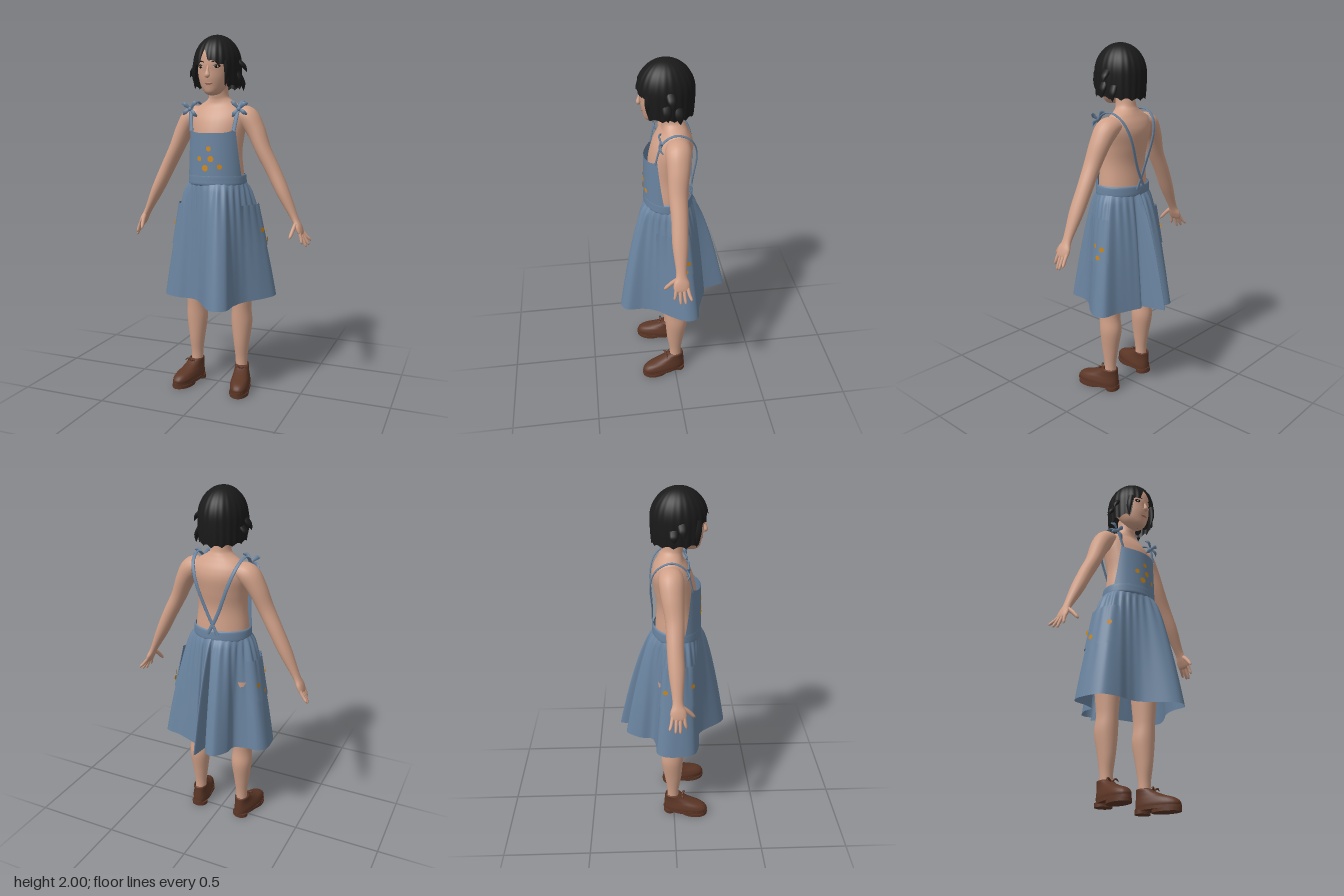
import * as THREE from 'three';
import { mergeVertices } from 'three/addons/utils/BufferGeometryUtils.js';

const mat = (name, color, side = THREE.FrontSide) => {
  const m = new THREE.MeshStandardMaterial({ color, side });
  m.name = name;
  return m;
};
const V = (x, y, z) => new THREE.Vector3(x, y, z);

// Smooth surface from fn(u, v) -> [x, y, z]; its front faces du x dv
function surface(fn, nu, nv) {
  const pos = [], idx = [];
  for (let j = 0; j <= nv; j++)
    for (let i = 0; i <= nu; i++) pos.push(...fn(i / nu, j / nv));
  for (let j = 0; j < nv; j++)
    for (let i = 0; i < nu; i++) {
      const a = j * (nu + 1) + i, b = a + nu + 1;
      idx.push(a, a + 1, b + 1, a, b + 1, b);
    }
  let g = new THREE.BufferGeometry();
  g.setAttribute('position', new THREE.Float32BufferAttribute(pos, 3));
  g.setIndex(idx);
  g = mergeVertices(g, 1e-5);
  g.computeVertexNormals();
  return g;
}

// Catmull-Rom through rows of numbers
function spline(rows, v) {
  const n = rows.length - 1, f = v * n, i = Math.min(Math.floor(f), n - 1), t = f - i;
  const at = k => rows[Math.max(0, Math.min(n, k))];
  const [a, b, c, d] = [at(i - 1), at(i), at(i + 1), at(i + 2)];
  return b.map((p, k) => p + 0.5 * t * (c[k] - a[k] + t * (2 * a[k] - 5 * p + 4 * c[k] - d[k] + t * (3 * (p - c[k]) + d[k] - a[k]))));
}

// Horizontal rings: [y, half width, front z, back z]
const loft = (rings, cx = 0, seg = 28, power = 1) => surface((u, v) => {
  const [y, rx, zf, zb] = spline(rings, v), a = u * Math.PI * 2;
  const p = q => Math.sign(q) * Math.abs(q) ** power;
  return [cx + rx * p(Math.sin(a)), y, (zf + zb) / 2 + (zf - zb) / 2 * p(Math.cos(a))];
}, seg, rings.length * 5);

// Tapered tube: [x, y, z, thickness, breadth along ref]
const limb = (pts, seg = 16, ref = V(0, 0, 1)) => surface((u, v) => {
  const q = spline(pts, v), e = 0.01;
  const p0 = spline(pts, Math.max(0, v - e)), p1 = spline(pts, Math.min(1, v + e));
  const T = V(p1[0] - p0[0], p1[1] - p0[1], p1[2] - p0[2]).normalize();
  const B = ref.clone().addScaledVector(T, -ref.dot(T)).normalize();
  const N = B.clone().cross(T), a = u * Math.PI * 2;
  return V(q[0], q[1], q[2]).addScaledVector(N, Math.max(q[3], 0) * Math.cos(a))
    .addScaledVector(B, Math.max(q[4], 0) * Math.sin(a)).toArray();
}, seg, pts.length * 5);

// Hem outline of the skirt, [x, z], front then round by the left side
const HEM = [[.1, .315], [.155, .28], [.165, .19], [.2, .11], [.27, .03], [.32, -.05], [.305, -.115],
  [.22, -.135], [.13, -.17], [.08, -.19], [.055, -.18], [.03, -.305], [.015, -.3], [0, -.19], [-.02, -.26],
  [-.08, -.275], [-.13, -.2], [-.14, -.13], [-.21, -.105], [-.28, -.1], [-.315, -.05], [-.31, .05],
  [-.28, .115], [-.2, .145], [-.13, .145], [-.06, .17], [.04, .29]];
const hemCurve = new THREE.CatmullRomCurve3(HEM.map(([x, z]) => V(x, 0, z)), true, 'catmullrom', 0.5);

function skirtPoint(u, t) {
  const h = hemCurve.getPoint(((u % 1) + 1) % 1), a = Math.atan2(h.x, h.z), f = t ** 0.65;
  const ripple = 1 + 0.035 * Math.sin(a * 26) * Math.min(1, t * 12) * Math.exp(-4 * t);
  const x = THREE.MathUtils.lerp(0.163 * Math.sin(a), h.x, f) * ripple;
  const z = THREE.MathUtils.lerp(0.02 + 0.128 * Math.cos(a), h.z, f) * ripple;
  return V(x, 1.2 - t * (0.66 + 0.05 * z), z);
}
function skirtNormal(u, t) {
  const d = skirtPoint(u + 0.004, t).sub(skirtPoint(u - 0.004, t));
  return V(-d.z, 0, d.x).normalize();
}

export function createModel() {
  const model = new THREE.Group();
  model.name = 'girlInPinaforeDress';
  const skin = mat('skin', 0xd0a088), denim = mat('denim', 0x6a84a0, THREE.DoubleSide);
  const black = mat('hairBlack', 0x1a1a1a, THREE.DoubleSide), leather = mat('shoeLeather', 0x5c3626);
  const orange = mat('flowerOrange', 0xd18a1c, THREE.DoubleSide), dark = mat('eyeDark', 0x21140f);
  const white = mat('eyeWhite', 0xcbbcb2), lip = mat('lips', 0xb07464);
  const add = (name, geo, m, parent = model) => {
    const mesh = new THREE.Mesh(geo, m);
    mesh.name = name;
    parent.add(mesh);
    return mesh;
  };
  const blob = (name, m, p, s, ry = 0) => {
    const b = add(name, new THREE.SphereGeometry(1, 16, 12), m);
    b.position.set(...p);
    b.scale.set(...s);
    b.rotation.y = ry;
  };

  // Body and head
  add('torso', loft([[1, .14, .1, -.1], [1.2, .155, .135, -.1], [1.35, .143, .13, -.09], [1.45, .15, .125, -.105],
    [1.53, .163, .105, -.115], [1.58, .158, .08, -.105], [1.62, .12, .055, -.085], [1.65, .072, .05, -.07],
    [1.68, .053, .055, -.06], [1.76, .05, .065, -.055]]), skin);
  add('head', loft([[1.672, .002, .1, .095], [1.677, .026, .125, .065], [1.69, .045, .14, .03], [1.72, .068, .148, 0],
    [1.76, .083, .157, -.03], [1.8, .092, .16, -.05], [1.84, .097, .163, -.08], [1.9, .1, .155, -.09],
    [1.95, .08, .12, -.06], [1.975, .002, .04, .035]], 0, 32), skin);
  add('nose', limb([[0, 1.835, .155, .005, .006], [0, 1.8, .163, .009, .009], [0, 1.775, .168, .012, .015],
    [0, 1.764, .16, .002, .002]], 12, V(1, 0, 0)), skin);
  blob('lips', lip, [0, 1.736, .149], [.023, .007, .007]);

  for (const s of [1, -1]) {
    // Eyes and brows
    blob('lashes', dark, [s * .043, 1.826, .147], [.023, .011, .007], s * .28);
    blob('eyeball', white, [s * .043, 1.823, .149], [.017, .006, .007], s * .28);
    blob('iris', dark, [s * .043, 1.824, .151], [.0085, .008, .007], s * .28);
    add('eyebrow', limb([[s * .02, 1.846, .158, .003, .003], [s * .045, 1.852, .15, .003, .003],
      [s * .068, 1.846, .133, .001, .001]], 8), black);

    // Arm, fingers and thumb
    const side = pts => pts.map(([x, ...r]) => [s * x, ...r]);
    add('arm', limb(side([[.11, 1.575, -.02, .045, .06], [.165, 1.555, -.015, .06, .067], [.215, 1.485, -.01, .052, .06],
      [.265, 1.375, 0, .043, .05], [.325, 1.26, 0, .04, .045], [.385, 1.14, .005, .035, .042],
      [.45, 1.01, .008, .02, .028], [.475, .96, .01, .018, .042], [.49, .925, .012, .012, .038],
      [.495, .915, .012, .001, .01]]), 20), skin);
    for (const [z, x, y, tz] of [[-.02, .53, .88, -.035], [0, .528, .862, -.005], [.02, .52, .855, .02], [.04, .505, .875, .05]])
      add('finger', limb(side([[.485, .94, z, .009, .01], [(.49 + x) / 2, (.935 + y) / 2, (z + tz) / 2, .009, .009],
        [x - .003, y + .01, tz, .007, .007], [x, y, tz, .001, .001]]), 8), skin);
    add('thumb', limb(side([[.463, .985, .025, .012, .013], [.457, .955, .06, .011, .012],
      [.45, .92, .09, .009, .009], [.446, .907, .1, .001, .001]]), 8), skin);

    // Leg
    add('leg', loft([[.06, .033, .03, -.04], [.16, .034, .03, -.04], [.26, .045, .045, -.055], [.38, .06, .055, -.075],
      [.46, .056, .06, -.068], [.52, .058, .065, -.07], [.7, .07, .08, -.085], [.95, .075, .09, -.09]], s * .14), skin);

    // Shoe, toes turned out
    const shoe = new THREE.Group();
    shoe.name = 'shoe';
    shoe.position.set(s * .145, 0, -.005);
    shoe.rotation.y = s * .21;
    model.add(shoe);
    add('upper', loft([[.02, .052, .205, -.055], [.045, .055, .21, -.055], [.07, .05, .185, -.054], [.09, .044, .125, -.052],
      [.11, .041, .075, -.05], [.128, .04, .045, -.048], [.13, .032, .035, -.04], [.11, .03, .03, -.035]], 0, 28, .85), leather, shoe);
    for (const [name, rx, rz, z, y, h] of [['sole', .057, .138, .078, .024, .016], ['forePad', .055, .085, .128, .009, .018],
      ['heel', .048, .04, -.018, .011, .022]]) {
      const pad = add(name, new THREE.CylinderGeometry(1, 1, h, 28), leather, shoe);
      pad.scale.set(rx, 1, rz);
      pad.position.set(0, y, z);
    }
    for (const k of [1, -1])
      add('lace', limb([[0, .118, .055, .004, .004], [k * .022, .133, .062, .005, .007], [k * .036, .12, .068, .001, .001]], 8), leather, shoe);

    // Crossed strap and shoulder bow
    add('strap', limb(side([[.125, 1.48, .1, .004, .012], [.14, 1.6, .065, .004, .011], [.14, 1.643, -.01, .004, .01],
      [.125, 1.6, -.09, .004, .01], [.09, 1.5, -.123, .004, .01], [.03, 1.34, -.115, .004, .01],
      [-.03, 1.22, -.114, .004, .01]]), 8, V(1, 0, 0)), denim);
    for (const [dx, dy] of [[.05, .03], [-.048, .038], [.045, -.03], [-.04, -.042]])
      add('bow', limb(side([[.145, 1.6, .068, .005, .004], [.145 + dx * .6, 1.605 + dy * .7, .078, .012, .005],
        [.145 + dx, 1.6 + dy, .066, .004, .003]]), 8), denim);
    blob('bowKnot', denim, [s * .145, 1.6, .072], [.012, .012, .009]);
  }

  // Hair: bob with a parted fringe
  const hairEdge = a => {
    const b = Math.abs(a), jag = 0.014 * Math.abs(Math.sin(a * 7));
    const fringe = 1.848 - 0.03 * b / 0.72 + 0.06 * Math.max(0, 1 - Math.abs(a + 0.17) / 0.22);
    const bob = 1.72 - 0.02 * (b / Math.PI);
    return THREE.MathUtils.lerp(fringe, bob, THREE.MathUtils.smoothstep(b, 0.68, 0.84)) + jag;
  };
  add('hair', surface((u, v) => {
    const a = (u * 2 - 1) * Math.PI, y = 2 - (2 - hairEdge(a)) * (1 - v) ** 1.7;
    const s = (y - 1.84) / 0.16;
    let r = s > 0 ? Math.sqrt(Math.max(0, 1 - s * s)) : 1 - 0.07 * s * s;
    r *= 1 + 0.014 * Math.sin(a * 23) * (1 - v);
    return [0.005 + 0.13 * r * Math.sin(a), y, 0.03 + 0.15 * r * Math.cos(a)];
  }, 144, 24), black);
  for (const [x, y, z, ex, ey, ez] of [[-.11, 1.84, .04, -.152, 1.775, .05], [-.115, 1.8, .0, -.145, 1.75, .0],
    [.12, 1.86, .02, .168, 1.8, .01], [.12, 1.8, .04, .145, 1.72, .035], [.115, 1.78, -.02, .135, 1.7, -.03],
    [-.085, 1.85, .12, -.09, 1.71, .115], [.09, 1.85, .12, .085, 1.72, .125]])
    add('hairLock', limb([[x, y, z, .014, .025], [(x + ex) / 2 + Math.sign(x) * .008, (y + ey) / 2, (z + ez) / 2, .012, .022],
      [ex, ey, ez, .001, .001]], 10), black);

  // Skirt and pockets
  add('skirt', surface((u, v) => skirtPoint(u, 1 - v).toArray(), 324, 26), denim);
  const n = HEM.length;
  for (const [a, b] of [[2.9, 6.2], [18.4, 22.9]])
    add('pocket', surface((u, v) => {
      const q = (a + (b - a) * u) / n, t = 0.55 - 0.36 * v;
      return skirtPoint(q, t).addScaledVector(skirtNormal(q, t), 0.006 + 0.008 * v * v).toArray();
    }, 24, 16), denim);

  // Waistband and bib
  add('waistband', loft([[1.18, .164, .15, -.112], [1.19, .168, .156, -.116], [1.21, .168, .156, -.116],
    [1.235, .166, .155, -.114], [1.242, .16, .15, -.108]], 0, 40), denim);
  const bib = (a, y) => {
    const k = (y - 1.22) / 0.26;
    return V((0.166 - 0.006 * k) * Math.sin(a), y, 0.02 + (0.135 - 0.006 * k) * Math.cos(a));
  };
  add('bib', surface((u, v) => {
    const w = u * 2 - 1;
    return bib(w * (1.3 - 0.32 * v ** 0.8), 1.22 + v * (0.25 + 0.025 * w * w * w * w)).toArray();
  }, 32, 14), denim);

  // Flower dots on bib and pockets
  const dot = (p, dir, r) => {
    const d = add('flowerDot', new THREE.CircleGeometry(r, 18), orange);
    d.position.copy(p).addScaledVector(dir, 0.003);
    d.lookAt(d.position.clone().add(dir));
  };
  for (const [x, y, r] of [[-.056, 1.33, .014], [0, 1.385, .014], [.012, 1.33, .017], [-.02, 1.28, .018], [.06, 1.287, .014]]) {
    const a = Math.asin(x / 0.163);
    dot(bib(a, y), V(Math.sin(a), 0, Math.cos(a)), r);
  }
  for (const [i, t] of [[5.5, .43], [4.8, .41], [5.2, .5], [19.6, .4], [20.4, .47], [22, .36]]) {
    const dir = skirtNormal(i / n, t);
    dot(skirtPoint(i / n, t).addScaledVector(dir, 0.012), dir, .014);
  }
  return model;
}
